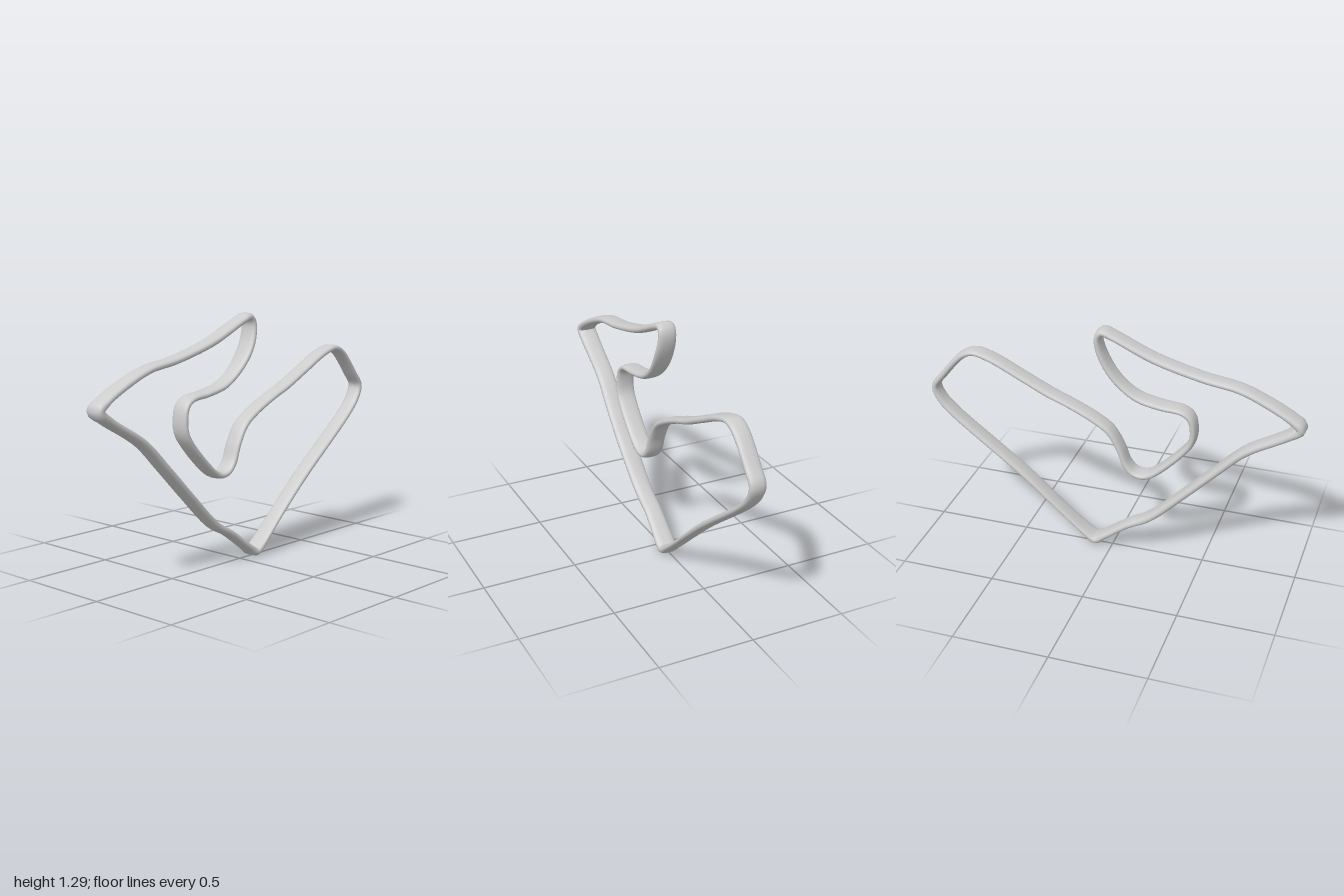
import * as THREE from 'three';

// Centre line of the loop, counter-clockwise from the bottom corner: x, y, half thickness
const PATH = [
  [0.092, 0.024, 0.024], [0.15, 0.063, 0.017], [0.49, 0.362, 0.018], [0.89, 0.678, 0.018],
  [0.955, 0.75, 0.018], [0.98, 0.82, 0.019], [0.93, 0.892, 0.018], [0.815, 1.022, 0.018],
  [0.752, 1.05, 0.017], [0.66, 1.03, 0.018], [0.48, 0.945, 0.018], [0.335, 0.875, 0.018],
  [0.24, 0.838, 0.017], [0.09, 0.767, 0.018], [0.01, 0.71, 0.018], [-0.045, 0.62, 0.018],
  [-0.08, 0.53, 0.019], [-0.12, 0.487, 0.018], [-0.17, 0.477, 0.018], [-0.22, 0.497, 0.019],
  [-0.38, 0.655, 0.018], [-0.425, 0.725, 0.018], [-0.432, 0.795, 0.018], [-0.415, 0.86, 0.018],
  [-0.375, 0.89, 0.017], [-0.26, 0.905, 0.018], [-0.135, 0.935, 0.018], [-0.04, 1.0, 0.018],
  [0.025, 1.08, 0.018], [0.067, 1.175, 0.018], [0.072, 1.24, 0.018], [0.05, 1.269, 0.021],
  [0, 1.254, 0.019], [-0.22, 1.16, 0.02], [-0.475, 1.093, 0.019], [-0.66, 1.063, 0.019],
  [-0.82, 1.0, 0.02], [-0.93, 0.94, 0.021], [-0.972, 0.9, 0.028], [-0.91, 0.848, 0.023],
  [-0.7, 0.715, 0.022], [-0.555, 0.57, 0.021], [-0.395, 0.405, 0.021], [-0.205, 0.222, 0.022],
  [-0.09, 0.155, 0.02], [0.045, 0.055, 0.02],
];

const bump = (x, y, cx, cy, r) => Math.exp(-((x - cx) ** 2 + (y - cy) ** 2) / (r * r));

// Slightly uneven front and back rims of the band
const frontZ = (x, y) => 0.043 + 0.012 * bump(x, y, -0.45, 0.5, 0.35)
  + 0.014 * bump(x, y, 0.09, 0, 0.16) + 0.012 * bump(x, y, 0.06, 1.1, 0.12) - 0.006 * bump(x, y, 1, 0.9, 0.3);
const backZ = (x, y) => -0.05 - 0.012 * bump(x, y, -0.97, 0.9, 0.25)
  - 0.007 * bump(x, y, -0.2, 0.92, 0.12);

// Sweep a rounded section, deep in z and thin in the plane, along the closed path
function bandGeometry(steps, sides) {
  const curve = new THREE.CatmullRomCurve3(PATH.map((p) => new THREE.Vector3(...p)), true, 'centripetal');
  const points = curve.getSpacedPoints(steps).slice(0, steps);
  const pos = [], index = [];
  const squash = (v) => Math.sign(v) * Math.abs(v) ** 0.8;
  points.forEach((p, i) => {
    const a = points[(i + steps - 1) % steps], b = points[(i + 1) % steps];
    const len = Math.hypot(b.x - a.x, b.y - a.y);
    const nx = (b.y - a.y) / len, ny = -(b.x - a.x) / len;
    const f = frontZ(p.x, p.y), k = backZ(p.x, p.y);
    for (let j = 0; j < sides; j++) {
      const t = (j / sides) * Math.PI * 2;
      const out = squash(Math.cos(t)) * p.z;
      pos.push(p.x + nx * out, p.y + ny * out, (f + k) / 2 + squash(Math.sin(t)) * (f - k) / 2);
      const i1 = (i + 1) % steps, j1 = (j + 1) % sides;
      const q = [i * sides + j, i1 * sides + j, i1 * sides + j1, i * sides + j1];
      index.push(q[0], q[1], q[2], q[0], q[2], q[3]);
    }
  });
  const geo = new THREE.BufferGeometry();
  geo.setAttribute('position', new THREE.Float32BufferAttribute(pos, 3));
  geo.setIndex(index);
  geo.computeVertexNormals();
  return geo;
}

export function createModel() {
  const group = new THREE.Group();
  const band = new THREE.Mesh(bandGeometry(400, 20), new THREE.MeshStandardMaterial({ color: 0xcccccc }));
  band.name = 'loopBand';
  group.add(band);
  return group;
}
